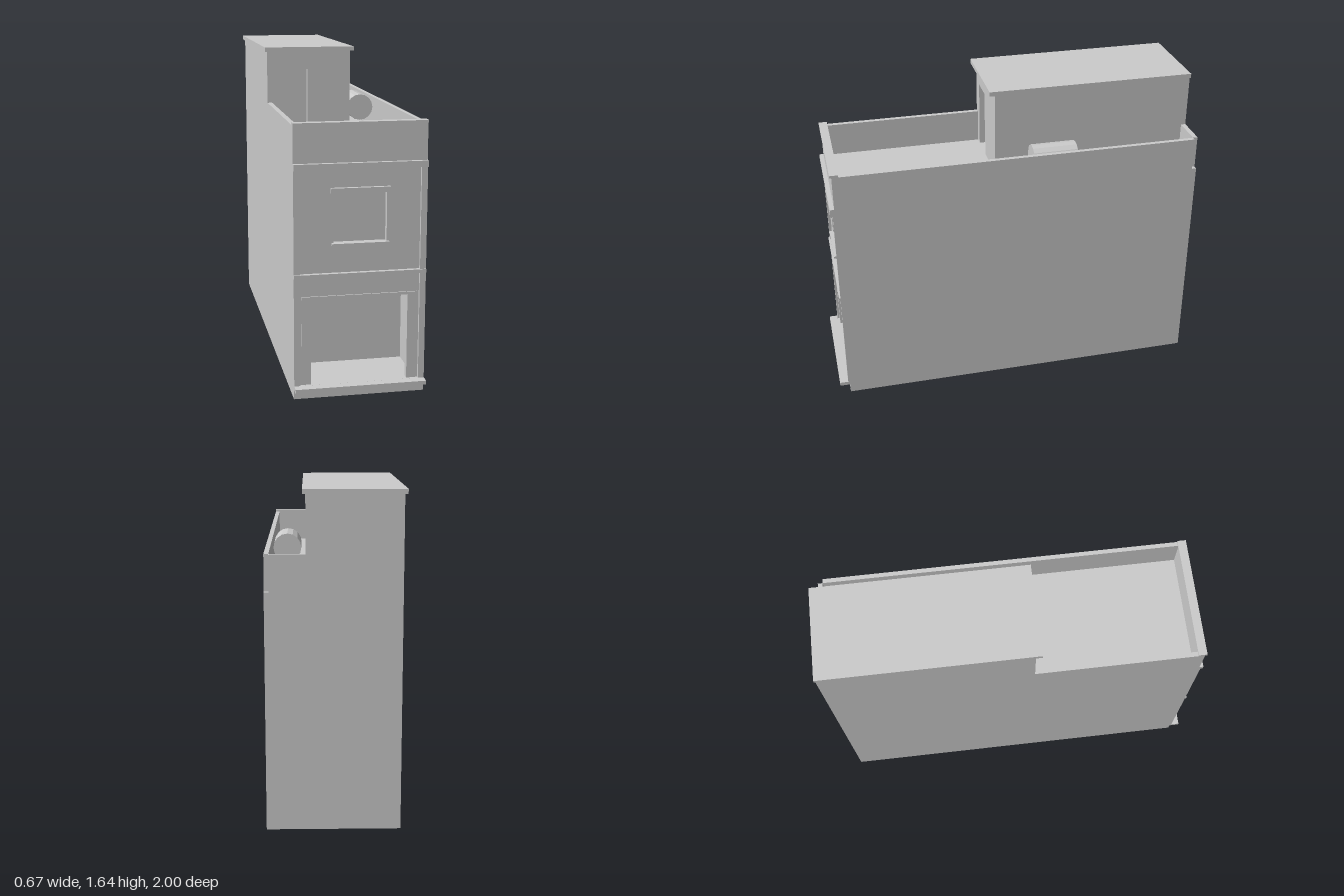
import * as THREE from 'three';

const solid = new THREE.MeshStandardMaterial({ color: 0xcccccc, flatShading: true });
const sheet = new THREE.MeshStandardMaterial({ color: 0xcccccc, flatShading: true, side: THREE.DoubleSide });

export function createModel() {
  const model = new THREE.Group();

  const add = (name, geometry, material = solid) => {
    const mesh = new THREE.Mesh(geometry, material);
    mesh.name = name;
    model.add(mesh);
    return mesh;
  };

  // Box given by its limits on each axis
  const boxGeometry = (x0, x1, y0, y1, z0, z1) =>
    new THREE.BoxGeometry(x1 - x0, y1 - y0, z1 - z0)
      .translate((x0 + x1) / 2, (y0 + y1) / 2, (z0 + z1) / 2);
  const box = (name, ...limits) => add(name, boxGeometry(...limits));

  // Thin box with some sides left off (0 +x, 1 -x, 2 +y, 3 -y, 4 +z, 5 -z)
  const openBox = (name, missing, ...limits) => {
    const g = boxGeometry(...limits);
    const index = Array.from(g.index.array);
    g.setIndex(index.filter((_, i) => !missing.includes(Math.floor(i / 6))));
    g.clearGroups();
    return add(name, g, sheet);
  };

  // Upright plate with rectangular openings
  const rectangle = (Type, [x0, x1, y0, y1]) => new Type([
    new THREE.Vector2(x0, y0), new THREE.Vector2(x1, y0),
    new THREE.Vector2(x1, y1), new THREE.Vector2(x0, y1),
  ]);
  const plate = (name, outline, openings, z0, z1) => {
    const shape = rectangle(THREE.Shape, outline);
    shape.holes = openings.map((o) => rectangle(THREE.Path, o));
    const g = new THREE.ExtrudeGeometry(shape, { depth: z1 - z0, bevelEnabled: false });
    return add(name, g.translate(0, 0, z0));
  };

  const L = -0.32, R = 0.33, roofY = 1.17, parapetY = 1.345;

  // Hollow main block; its top is the roof terrace
  openBox('bodyShell', [3, 4], L, R, 0, roofY, -1, 0.945);

  // Facade
  box('plinth', L, R, 0, 0.07, 0.935, 0.945);
  plate('facadeWall', [L, R, 0.07, roofY],
    [[-0.125, 0.135, 0.775, 1.02], [-0.28, 0.285, 0.0701, 0.505]], 0.91, 0.94);
  plate('facadeFrame', [L, R, 0.07, 1.135],
    [[-0.29, 0.3, 0.0701, 0.612], [-0.29, 0.3, 0.63, 1.1349]], 0.935, 0.955);
  box('floorBand', L, R, 0.612, 0.63, 0.94, 0.962);
  box('cornice', L, R, 1.135, 1.165, 0.91, 0.967);
  box('entranceLedge', L, R, 0.05, 0.07, 0.935, 1);

  // Upper window
  box('windowPane', -0.13, 0.14, 0.77, 1.025, 0.9, 0.91);
  box('windowLintel', -0.14, 0.15, 1.02, 1.045, 0.935, 0.96);
  box('windowSill', -0.135, 0.145, 0.765, 0.776, 0.935, 0.96);

  // Shop room, posts and lintel
  openBox('shopRoom', [4], -0.28, 0.285, 0.07, 0.505, 0.66, 0.935);
  for (const [x0, x1] of [[-0.28, -0.235], [0.243, 0.288]]) {
    box('shopPost', x0, x1, 0.07, 0.505, 0.91, 0.943);
  }
  box('shopLintel', -0.28, 0.288, 0.503, 0.516, 0.91, 0.947);

  // Parapets around the terrace
  box('frontParapet', L, R, roofY - 0.03, parapetY, 0.915, 0.945);
  box('frontCoping', L, R, parapetY, 1.357, 0.91, 0.955);
  box('leftParapet', 0.307, R, roofY, parapetY, -0.975, 0.915);
  box('rightParapet', L, -0.295, roofY, parapetY, 0.07, 0.915);
  box('backParapet', 0.135, 0.307, roofY, parapetY, -1, -0.975);

  // Roof room with a recessed doorway and slab
  box('roofRoom', L, 0.135, roofY, 1.622, -1, 0.04);
  plate('roofRoomFront', [L, 0.135, roofY, 1.622],
    [[-0.25, -0.1, roofY + 0.0001, 1.525]], 0.04, 0.07);
  box('roofSlab', -0.335, 0.15, 1.622, 1.645, -1, 0.1);

  // Water tank lying beside the roof room
  const tank = add('waterTank', new THREE.CylinderGeometry(0.073, 0.073, 0.236, 16));
  tank.rotation.x = Math.PI / 2;
  tank.position.set(0.232, 1.287, -0.223);

  return model;
}
